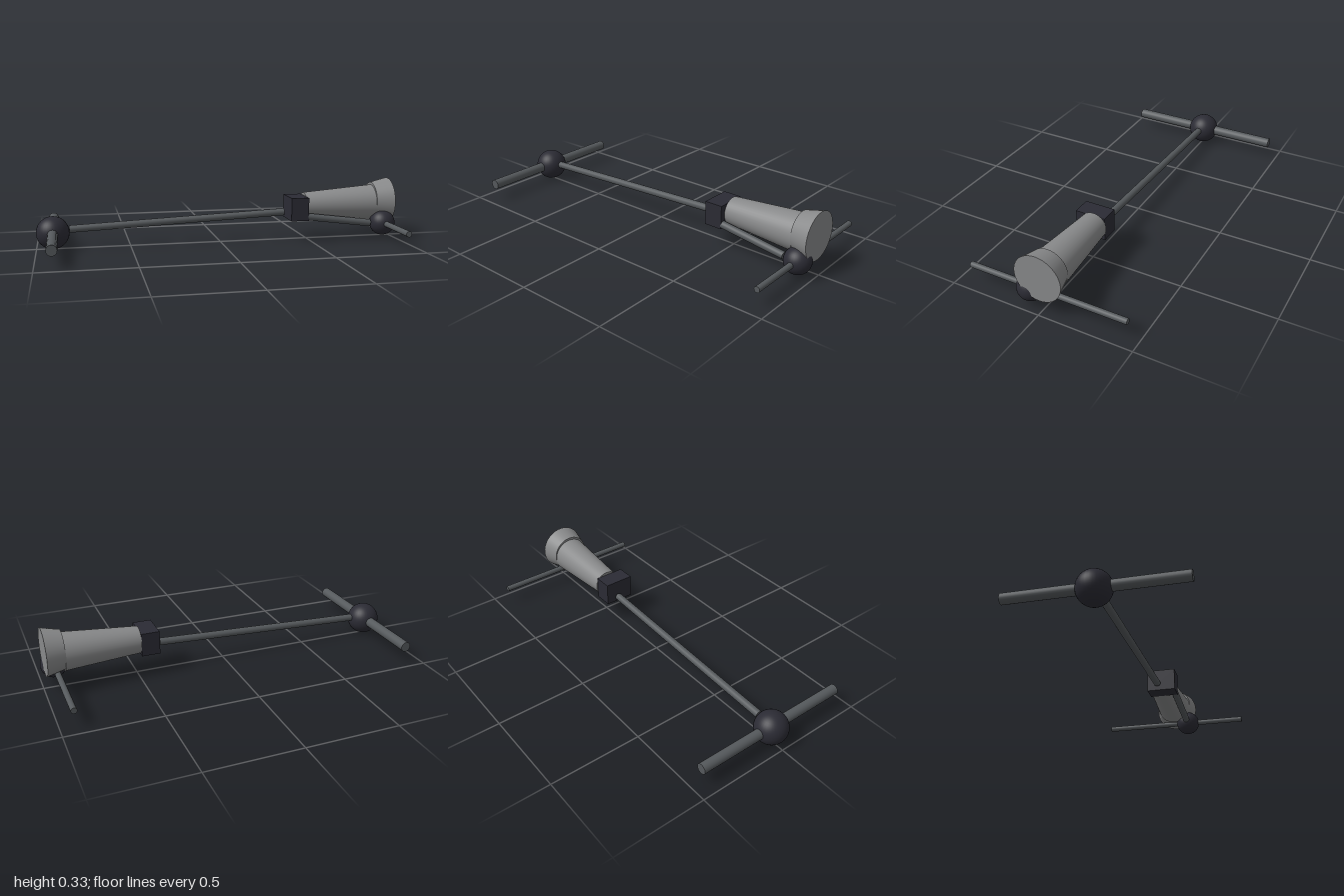
import * as THREE from 'three';

export function createModel() {
  const model = new THREE.Group();
  const dark = new THREE.MeshStandardMaterial({ name: 'dark rubber', color: 0x2b2b34 });
  const steel = new THREE.MeshStandardMaterial({ name: 'steel grey', color: 0x55595c });
  const shell = new THREE.MeshStandardMaterial({ name: 'light grey', color: 0x88898a });

  const add = (name, geometry, material, x, y, z) => {
    const mesh = new THREE.Mesh(geometry, material);
    mesh.name = name;
    mesh.position.set(x, y, z);
    model.add(mesh);
    return mesh;
  };

  // Round bar or cone running from point a (radius ra) to point b (radius rb)
  const bar = (name, a, b, ra, rb, material, sides = 20) => {
    const from = new THREE.Vector3(...a), to = new THREE.Vector3(...b);
    const dir = to.clone().sub(from);
    const mid = from.clone().add(to).multiplyScalar(0.5);
    const mesh = add(name, new THREE.CylinderGeometry(rb, ra, dir.length(), sides), material, mid.x, mid.y, mid.z);
    mesh.quaternion.setFromUnitVectors(new THREE.Vector3(0, 1, 0), dir.normalize());
  };

  // Large ball with its thick cross bar
  add('largeBall', new THREE.SphereGeometry(0.088, 32, 24), dark, -0.912, 0.09, 0);
  bar('thickCrossBar', [-0.912, 0.092, -0.445], [-0.912, 0.092, 0.445], 0.028, 0.028, steel);

  // Long shaft
  bar('shaft', [-0.825, 0.106, 0], [0.367, 0.158, 0], 0.02, 0.02, steel);

  // Connecting block
  add('block', new THREE.BoxGeometry(0.1, 0.128, 0.166), dark, 0.433, 0.184, 0.019);

  // Tapered body and flared end
  bar('body', [0.483, 0.192, 0], [0.888, 0.196, 0], 0.073, 0.102, shell, 40);
  bar('flare', [0.886, 0.208, 0], [0.985, 0.208, 0], 0.104, 0.128, shell, 40);

  // Strut to the small ball with its thin cross bar
  bar('strut', [0.48, 0.14, 0.083], [0.85, 0.092, 0.085], 0.02, 0.02, steel);
  add('smallBall', new THREE.SphereGeometry(0.071, 32, 24), dark, 0.926, 0.092, 0.083);
  bar('thinCrossBar', [0.926, 0.092, -0.438], [0.926, 0.092, 0.435], 0.016, 0.016, steel);

  return model;
}
